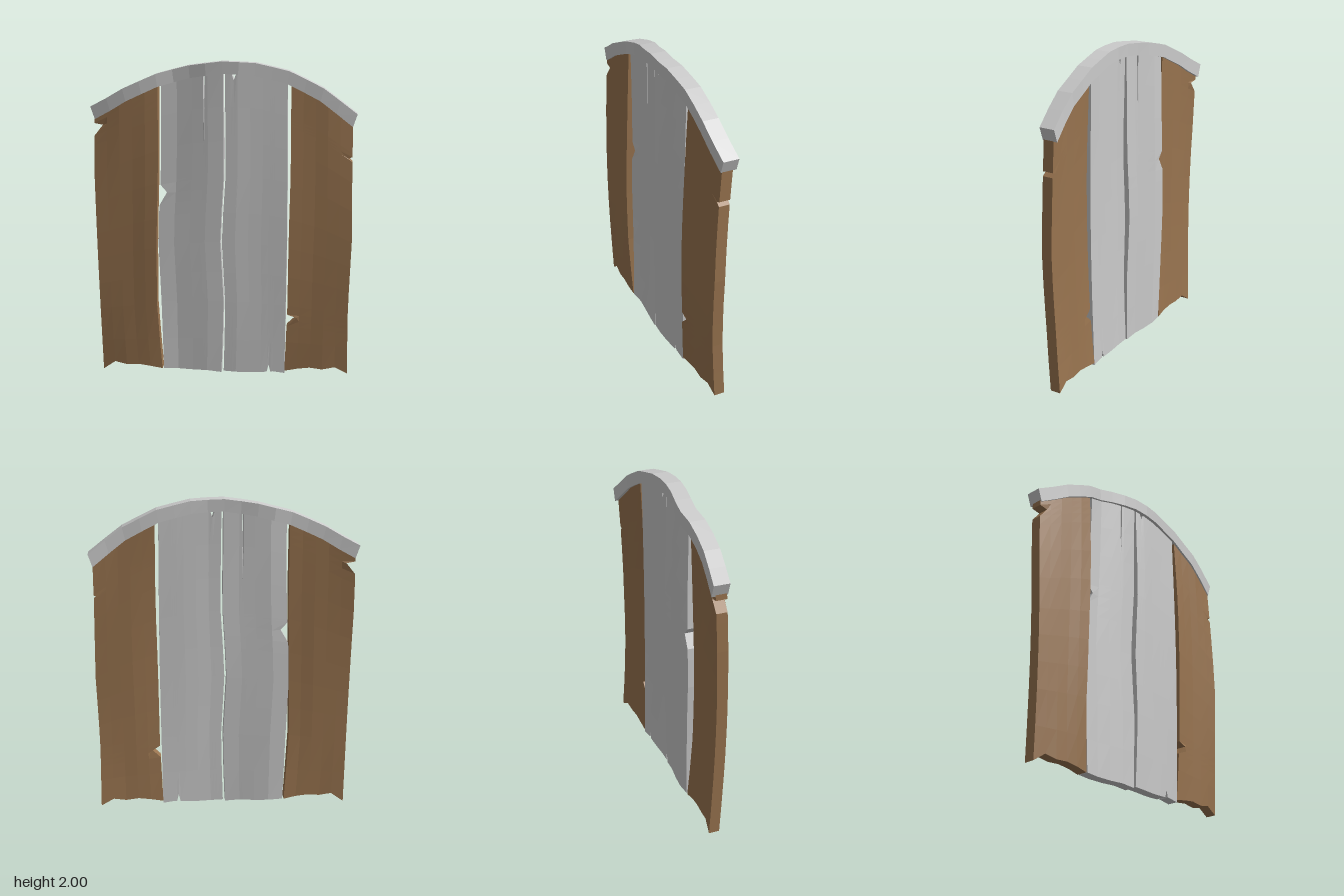
import * as THREE from 'three';

// Piecewise-linear lookup: evenly spaced values over [0, span]
function evenly(values, span, t) {
  const f = THREE.MathUtils.clamp(t / span, 0, 1) * (values.length - 1);
  const i = Math.min(Math.floor(f), values.length - 2);
  return THREE.MathUtils.lerp(values[i], values[i + 1], f - i);
}

// Closed slab from columns of [x, y, z] midpoints, given a half thickness
function slab(name, cols, half, color) {
  const nc = cols.length, nr = cols[0].length, pos = [], index = [];
  for (const s of [half, -half])
    for (const col of cols) for (const [x, y, z] of col) pos.push(x, y, z + s);
  const F = (c, r) => c * nr + r, B = (c, r) => nc * nr + c * nr + r;
  const quad = (a, b, c, d) => index.push(a, b, c, a, c, d);
  const e = nc - 1, t = nr - 1;
  // Front, back, bottom and top
  for (let c = 0; c < e; c++) {
    for (let r = 0; r < t; r++) {
      quad(F(c, r), F(c + 1, r), F(c + 1, r + 1), F(c, r + 1));
      quad(B(c + 1, r), B(c, r), B(c, r + 1), B(c + 1, r + 1));
    }
    quad(B(c, 0), B(c + 1, 0), F(c + 1, 0), F(c, 0));
    quad(F(c, t), F(c + 1, t), B(c + 1, t), B(c, t));
  }
  // Side edges
  for (let r = 0; r < t; r++) {
    quad(B(0, r), F(0, r), F(0, r + 1), B(0, r + 1));
    quad(F(e, r), B(e, r), B(e, r + 1), F(e, r + 1));
  }
  const g = new THREE.BufferGeometry();
  g.setAttribute('position', new THREE.Float32BufferAttribute(pos, 3));
  g.setIndex(index);
  g.computeVertexNormals();
  const mesh = new THREE.Mesh(g, new THREE.MeshStandardMaterial({ color, flatShading: true }));
  mesh.name = name;
  return mesh;
}

// Underside height of the arch at x, steeper on the left side
const underAt = x => evenly([1.635, 1.755, 1.845, 1.898, 1.925, 1.912, 1.86, 1.755, 1.595], 1.6, x + 0.8);
// Front-to-back wave at x
const waveAt = x => evenly([-0.03, 0, 0.008, -0.015, 0.016, 0.025, 0.01, -0.002, -0.004, -0.03], 1.65, x + 0.83);

// left, right: edge x at even heights; bottom: ragged y at even steps across
// notches: [side, low y, tip y, high y, depth]; splits: [fraction, half width, tip y, fromTop]
function plank(name, color, { left, right, bottom, bow, notches = [], splits = [] }) {
  const columns = bottom.map((_, i) => ({ t: i / (bottom.length - 1) }));
  for (const [t, w, tip, fromTop] of splits)
    columns.push({ t: t - w }, { t, tip, fromTop }, { t: t + w });
  columns.sort((a, b) => a.t - b.t);

  const topAt = x => underAt(x) + 0.015;
  const tops = [topAt(left[4]), topAt(right[4])];
  const rows = [0, 0.12, 0.25, 0.35, 0.45, 0.55, 0.67, 0.78, 0.89, 1].map(v => ({ v }));
  for (const [side, low, tip, high, depth] of notches) {
    const h = tops[side];
    rows.push({ v: low / h }, { v: (low + high) / 2 / h, side, depth, tip }, { v: high / h });
  }
  rows.sort((a, b) => a.v - b.v);

  const cols = columns.map(c => rows.map(r => {
    const xl = evenly(left, 1.8, r.v * tops[0]), xr = evenly(right, 1.8, r.v * tops[1]);
    let x = THREE.MathUtils.lerp(xl, xr, c.t);
    let y = r.v === 0 ? evenly(bottom, 1, c.t) : topAt(x) * r.v;
    if (c.tip) y = c.fromTop ? Math.min(y, c.tip) : Math.max(y, c.tip);
    const z = waveAt(x) * 0.7 + bow * Math.sin(Math.PI * r.v) * (0.4 + 0.6 * Math.abs(2 * c.t - 1));
    if (r.side === c.t) {
      x += c.t === 0 ? r.depth : -r.depth;
      y = r.tip;
    }
    return [x, y, z];
  }));
  return slab(name, cols, 0.034, color);
}

// Arched rim, thickened away from a point below the panel
function archedRim(color) {
  const cols = [];
  for (let i = 0; i <= 16; i++) {
    const x = -0.81 + i * 0.1, y = underAt(x), z = waveAt(x);
    const out = new THREE.Vector2(x, y + 0.7).setLength(0.075 + 0.01 * Math.abs(x));
    cols.push([[x, y, z], [x + out.x, y + out.y, z]]);
  }
  return slab('archedRim', cols, 0.049, color);
}

export function createModel() {
  const brown = 0x9a7550, grey = 0xcccccc;
  const model = new THREE.Group();
  model.name = 'plankPanel';
  model.add(
    plank('outerPlankRight', brown, {
      left: [-0.79, -0.8, -0.81, -0.82, -0.81], right: [-0.4, -0.428, -0.425, -0.41, -0.41],
      bottom: [0, 0.055, 0.04, 0.045, 0.035, 0.02], bow: 0.025,
      notches: [[0, 1.53, 1.6, 1.61, 0.055]],
    }),
    plank('innerPlankRight', grey, {
      left: [-0.39, -0.402, -0.42, -0.395, -0.388], right: [-0.015, 0, -0.025, 0.002, -0.005],
      bottom: [0.022, 0.02, 0.018, 0.02, 0.012], bow: -0.012,
      notches: [[0, 1.1, 1.18, 1.23, 0.045]],
      splits: [[0.69, 0.015, 1.6, true]],
    }),
    plank('innerPlankLeft', grey, {
      left: [0, 0.012, -0.012, 0.016, 0.008], right: [0.39, 0.394, 0.397, 0.395, 0.39],
      bottom: [0.022, 0.018, 0.016, 0.018, 0.025, 0.015], bow: 0.012,
      splits: [[0.74, 0.03, 0.07, false], [0.14, 0.05, 1.885, true]],
    }),
    plank('outerPlankLeft', brown, {
      left: [0.39, 0.405, 0.408, 0.416, 0.412], right: [0.79, 0.785, 0.8, 0.792, 0.79],
      bottom: [0.03, 0.045, 0.055, 0.045, 0.06, 0.018], bow: 0.03,
      notches: [[0, 0.33, 0.39, 0.41, 0.06], [1, 1.39, 1.41, 1.42, 0.025]],
    }),
    archedRim(grey),
  );
  return model;
}
